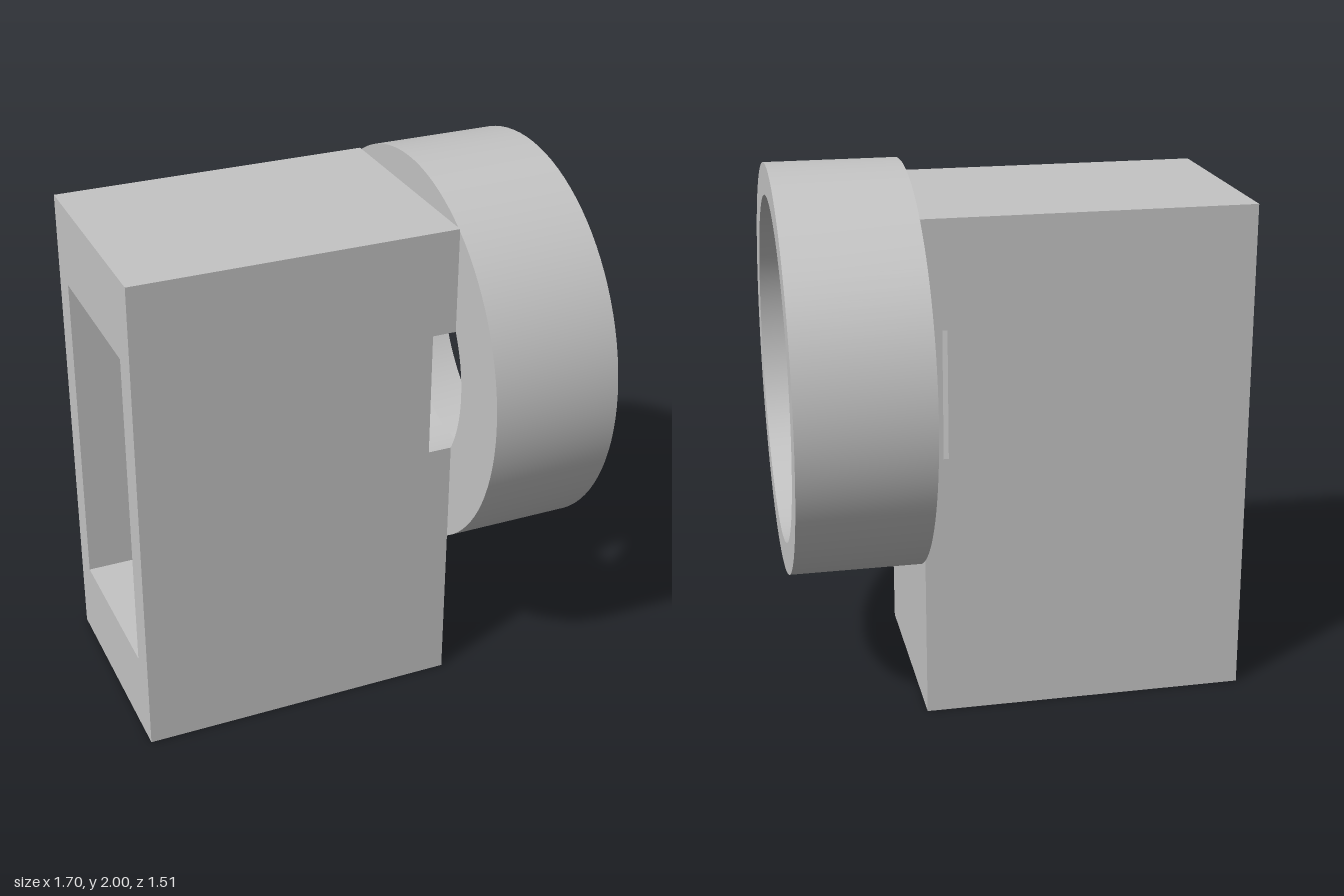
import * as THREE from 'three';
import { toCreasedNormals } from 'three/addons/utils/BufferGeometryUtils.js';

const HALF_DEPTH = 0.423, HEIGHT = 1.88;              // block section
const X_BACK = -0.85, X_BORE = 0.27, X_FACE = 0.36, X_END = 0.845;
const AXIS_Y = 1.243, BORE = 0.486;                   // round bore
const OUTER = 0.757, RECESS = 0.64, X_RECESS = 0.603; // collar

// Extrudes a (z, y) section along x between two positions
function extrudeX(shape, x0, x1) {
  const geo = new THREE.ExtrudeGeometry(shape, { depth: x1 - x0, bevelEnabled: false, curveSegments: 48 });
  geo.rotateY(Math.PI / 2);
  geo.translate(x0, 0, 0);
  return toCreasedNormals(geo, 0.5);
}

function rectangle(Path, halfWidth, y0, y1) {
  const p = new Path();
  p.moveTo(-halfWidth, y0);
  p.lineTo(halfWidth, y0);
  p.lineTo(halfWidth, y1);
  p.lineTo(-halfWidth, y1);
  p.closePath();
  return p;
}

export function createModel() {
  const group = new THREE.Group();
  const grey = new THREE.MeshStandardMaterial({ color: 0xc4c4c4 });
  grey.name = 'grey';
  const add = (name, geo) => {
    const mesh = new THREE.Mesh(geo, grey);
    mesh.name = name;
    group.add(mesh);
  };

  // Block with a rectangular passage along x
  const section = rectangle(THREE.Shape, HALF_DEPTH, 0, HEIGHT);
  section.holes.push(rectangle(THREE.Path, 0.315, 0.315, 1.567));
  add('block', extrudeX(section, X_BACK, X_BORE));

  // Bored end of the block: the bore breaks through both sides, leaving two pieces
  const a = Math.acos(HALF_DEPTH / BORE);
  const rise = BORE * Math.sin(a);

  const lower = new THREE.Shape();
  lower.moveTo(-HALF_DEPTH, 0);
  lower.lineTo(HALF_DEPTH, 0);
  lower.lineTo(HALF_DEPTH, AXIS_Y - rise);
  lower.absarc(0, AXIS_Y, BORE, -a, a - Math.PI, true);
  lower.closePath();
  add('lowerBoredEnd', extrudeX(lower, X_BORE, X_FACE));

  const upper = new THREE.Shape();
  upper.moveTo(HALF_DEPTH, AXIS_Y + rise);
  upper.lineTo(HALF_DEPTH, HEIGHT);
  upper.lineTo(-HALF_DEPTH, HEIGHT);
  upper.lineTo(-HALF_DEPTH, AXIS_Y + rise);
  upper.absarc(0, AXIS_Y, BORE, Math.PI - a, a, true);
  upper.closePath();
  add('upperBoredEnd', extrudeX(upper, X_BORE, X_FACE));

  // Round collar with a stepped recess
  const profile = [
    [BORE, X_FACE], [OUTER, X_FACE], [OUTER, X_END], [RECESS, X_END],
    [RECESS, X_RECESS], [BORE, X_RECESS], [BORE, X_FACE],
  ].map(([r, x]) => new THREE.Vector2(r, x));
  const collar = new THREE.LatheGeometry(profile, 96);
  collar.rotateZ(-Math.PI / 2);
  collar.translate(0, AXIS_Y, 0);
  add('collar', toCreasedNormals(collar, 0.5));

  return group;
}
